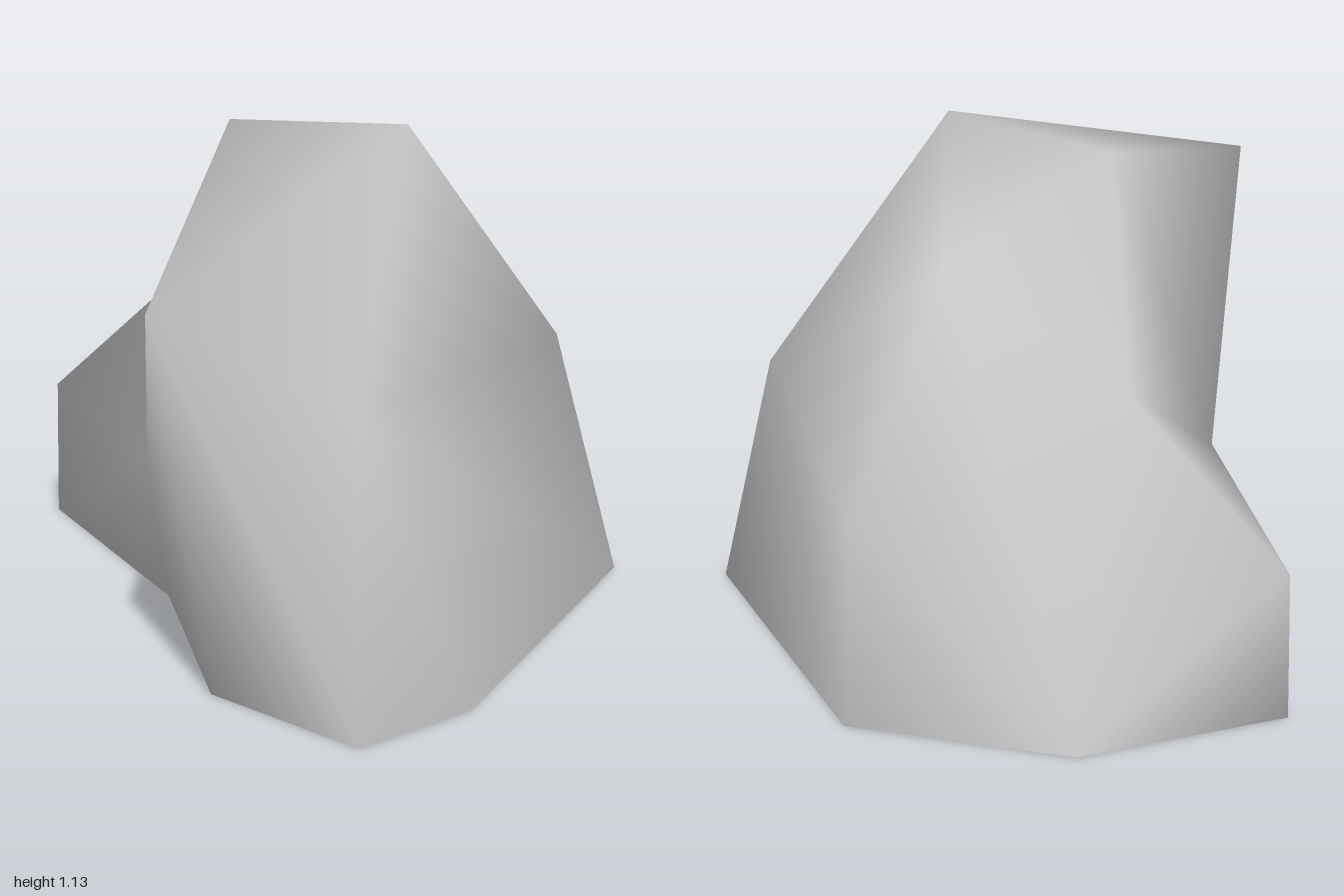
import * as THREE from 'three';

// Ground outline, clockwise seen from above (points 0-7)
const base = [
  [0.12, 0, -1], [0.75, 0, -0.39], [0.57, 0, 0.72], [0.38, 0, 1],
  [0, 0, 0.74], [-0.27, 0, 0.08], [-0.75, 0, -0.59], [-0.4, 0, -0.94],
];
// Shoulder ring, same direction (points 8-13)
const shoulder = [
  [0.12, 0.44, -0.95], [0.59, 0.58, -0.42], [0.36, 0.69, 0.935],
  [-0.12, 0.855, 0.81], [-0.32, 0.33, 0.08], [-0.75, 0.34, -0.6],
];
// Crown: left saddle, back ridge, two peaks (points 14-17)
const crown = [
  [-0.37, 0.69, -0.58], [0.03, 0.95, -0.64], [-0.19, 1.115, -0.23], [0.27, 1.135, -0.11],
];

// Joins two rings; a repeated point collapses a quad into a triangle
function band(faces, low, up) {
  const add = (a, b, c) => {
    if (a !== b && b !== c && a !== c) faces.push(a, b, c);
  };
  for (let i = 0; i + 1 < low.length; i++) {
    add(low[i], up[i], up[i + 1]);
    add(low[i], up[i + 1], low[i + 1]);
  }
}

// Smooth normals in which every touching face counts equally
function evenNormals(points, faces) {
  const corners = points.map((p) => new THREE.Vector3(...p));
  const normals = points.map(() => new THREE.Vector3());
  const facing = new THREE.Vector3();
  for (let i = 0; i < faces.length; i += 3) {
    const ids = faces.slice(i, i + 3);
    THREE.Triangle.getNormal(...ids.map((id) => corners[id]), facing);
    ids.forEach((id) => normals[id].add(facing));
  }
  return normals.flatMap((n) => n.normalize().toArray());
}

function boulderGeometry() {
  const points = [...base, ...shoulder, ...crown];
  const faces = [];
  // Steep lower walls, open underneath
  band(faces, [0, 1, 2, 3, 4, 5, 6, 6, 7, 0], [8, 9, 10, 10, 11, 12, 12, 13, 7, 8]);
  // Upper slopes
  band(faces, [8, 9, 9, 10, 11, 11, 12, 13, 7, 7, 8], [15, 15, 17, 17, 17, 16, 16, 14, 14, 15, 15]);
  // Top facets
  faces.push(15, 16, 17, 14, 16, 15);

  const geometry = new THREE.BufferGeometry();
  geometry.setAttribute('position', new THREE.Float32BufferAttribute(points.flat(), 3));
  geometry.setAttribute('normal', new THREE.Float32BufferAttribute(evenNormals(points, faces), 3));
  geometry.setIndex(faces);
  return geometry;
}

export function createModel() {
  const stone = new THREE.MeshStandardMaterial({ color: 0xc8c8c8, side: THREE.DoubleSide });
  stone.name = 'grey stone';

  const boulder = new THREE.Mesh(boulderGeometry(), stone);
  boulder.name = 'boulder';

  const group = new THREE.Group();
  group.name = 'rock';
  group.add(boulder);
  return group;
}
